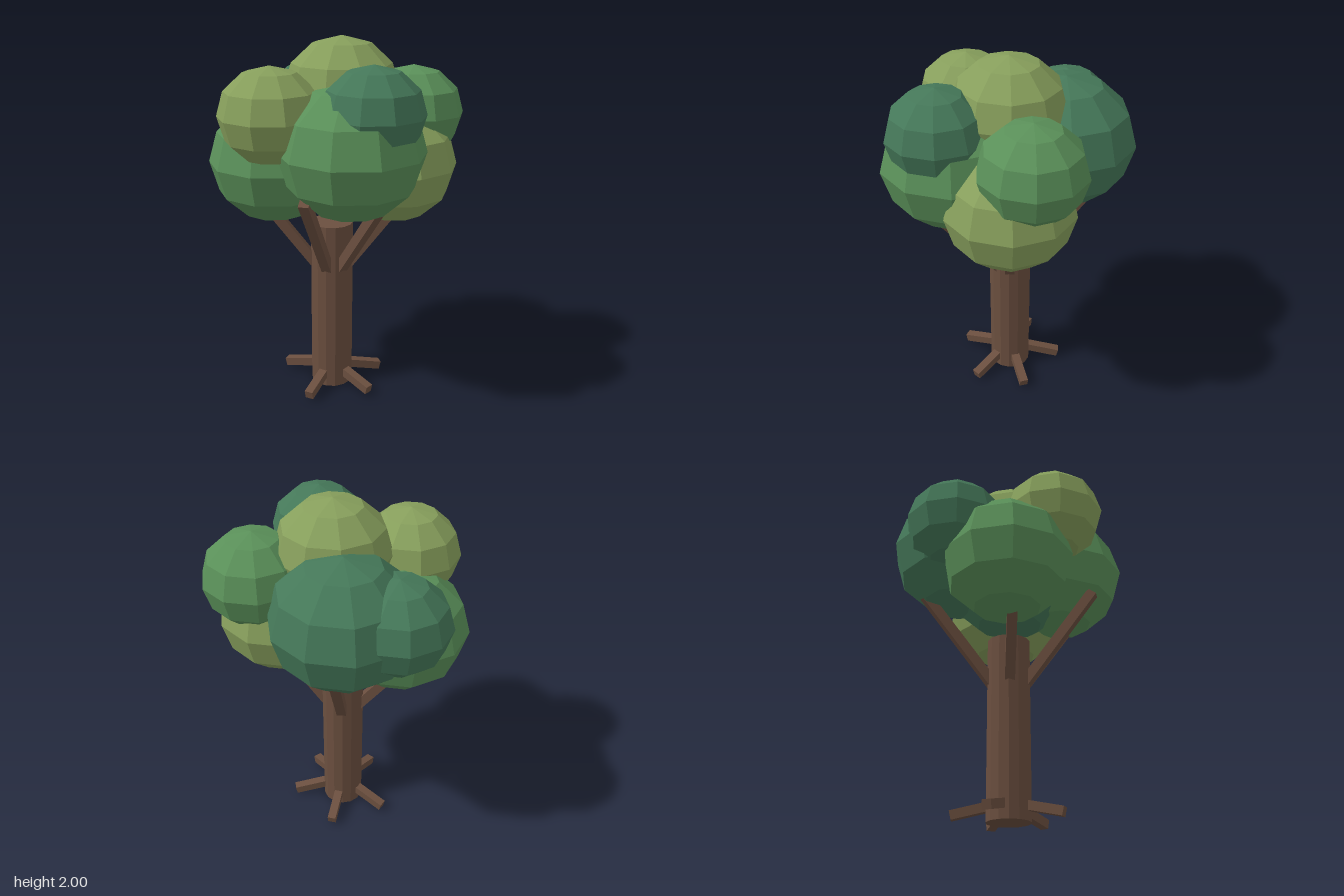
import * as THREE from 'three';

const paint = (name, color) => {
  const m = new THREE.MeshStandardMaterial({ color, flatShading: true });
  m.name = name;
  return m;
};

export function createModel() {
  const bark = paint('bark brown', 0x6b4f3f);
  const olive = paint('olive leaf', 0x879f5c);
  const green = paint('mid green leaf', 0x5a9059);
  const dark = paint('dark green leaf', 0x457859);

  const tree = new THREE.Group();
  tree.name = 'tree';
  const add = (name, geometry, material) => {
    const mesh = new THREE.Mesh(geometry, material);
    mesh.name = name;
    tree.add(mesh);
    return mesh;
  };

  // Trunk
  add('trunk', new THREE.CylinderGeometry(0.118, 0.118, 0.99, 14), bark).position.y = 0.495;

  // Square beam leaving the trunk at an angle (degrees from the front, towards +x)
  const beam = (name, degrees, r0, y0, r1, y1, size) => {
    const length = Math.hypot(r1 - r0, y1 - y0);
    const mesh = add(name, new THREE.BoxGeometry(size, size, length), bark);
    mesh.rotation.order = 'YXZ';
    mesh.rotation.y = THREE.MathUtils.degToRad(degrees);
    mesh.rotation.x = -Math.atan2(y1 - y0, r1 - r0);
    const a = mesh.rotation.y, r = (r0 + r1) / 2;
    mesh.position.set(Math.sin(a) * r, (y0 + y1) / 2, Math.cos(a) * r);
  };

  // Branches rise into the crown, roots slope down to the ground
  [0, 50, 105, 203, 286].forEach((d) => beam('branch', d, 0.09, 0.74, 0.48, 1.25, 0.054));
  [-10, 62, 122, 194, 262].forEach((d) => beam('root', d, 0.06, 0.09, 0.295, 0.034, 0.048));

  // Leaf clumps: material, x, y, z, radius
  const clumps = [
    [olive, 0.05, 1.72, -0.01, 0.305],
    [olive, -0.23, 1.63, 0.305, 0.27],
    [olive, 0.32, 1.325, -0.09, 0.342],
    [green, 0.175, 1.46, 0.25, 0.38],
    [green, -0.305, 1.33, 0.06, 0.357],
    [green, 0.39, 1.585, -0.22, 0.275],
    [dark, 0.29, 1.66, 0.285, 0.262],
    [dark, -0.135, 1.5, -0.255, 0.38],
    [dark, -0.4, 1.53, -0.205, 0.27],
    [dark, 0.02, 1.39, 0, 0.36],
  ];
  for (const [material, x, y, z, r] of clumps) {
    const geometry = new THREE.SphereGeometry(r, 10, 6);
    geometry.rotateY(Math.PI / 2);
    geometry.scale(1, 0.92, 1);
    add('leafClump', geometry, material).position.set(x, y, z);
  }

  return tree;
}
